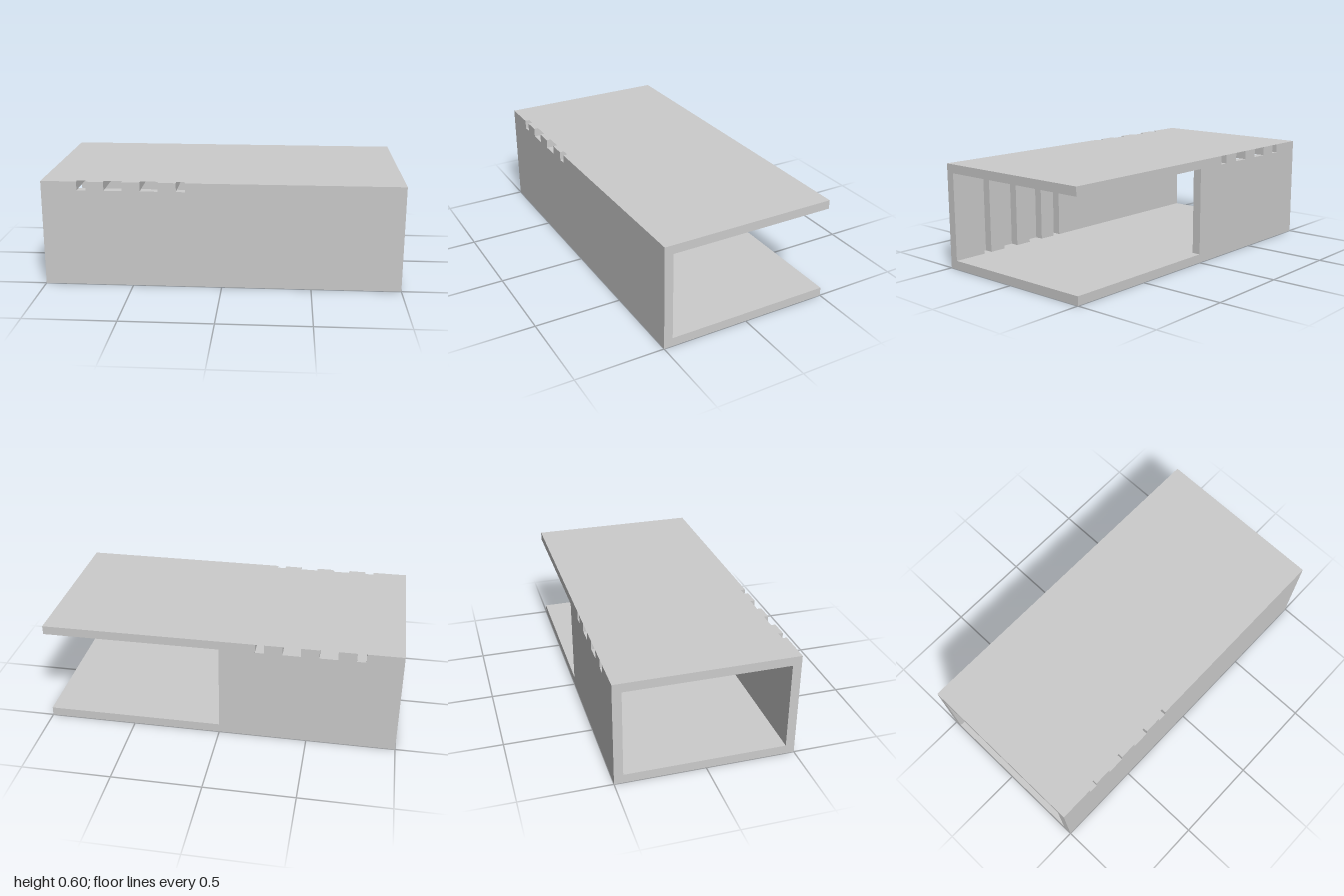
import * as THREE from 'three';

const T = 0.05; // wall thickness
// slot spans along the length, used on both halves
const SLOTS = [[0.2, 0.25], [0.35, 0.45], [0.55, 0.65], [0.75, 0.8]];

export function createModel() {
  const model = new THREE.Group();
  const material = new THREE.MeshStandardMaterial({ color: 0xcccccc, flatShading: true });
  const skinMaterial = material.clone();
  skinMaterial.side = THREE.DoubleSide;

  // box given by its lower and upper bounds
  function block(name, [x0, x1], [y0, y1], [z0, z1]) {
    const mesh = new THREE.Mesh(new THREE.BoxGeometry(x1 - x0, y1 - y0, z1 - z0), material);
    mesh.position.set((x0 + x1) / 2, (y0 + y1) / 2, (z0 + z1) / 2);
    mesh.name = name;
    model.add(mesh);
  }

  // paper-thin cover closing the outer side of a slot
  function skin(name, width, height, position, tilt) {
    const mesh = new THREE.Mesh(new THREE.PlaneGeometry(width, height), skinMaterial);
    mesh.position.set(...position);
    mesh.rotation.x = tilt;
    mesh.name = name;
    model.add(mesh);
  }

  // solid spans left between the slots over the full length
  function solidSpans(slots) {
    const edges = [-1, ...slots.flat().sort((a, b) => a - b), 1];
    const spans = [];
    for (let i = 0; i < edges.length; i += 2) spans.push([edges[i], edges[i + 1]]);
    return spans;
  }

  // floor, and a back wall that closes one half only
  block('floor', [-1, 1], [0, T], [-0.5, 0.5]);
  block('backWall', [-1, 0], [T, 0.55], [-0.5, -0.45]);

  // top plate with slots across its underside, notched open at the front edge
  const topSlots = SLOTS.map(([a, b]) => [-b, -a]);
  for (const span of solidSpans(topSlots)) block('topPlate', span, [0.55, 0.6], [-0.5, 0.5]);
  for (const [a, b] of topSlots) {
    skin('topSlotCover', b - a, 0.975, [(a + b) / 2, 0.6, -0.0125], -Math.PI / 2);
  }

  // front wall with upright slots on its inner side
  for (const span of solidSpans(SLOTS)) block('frontWall', span, [T, 0.55], [0.45, 0.5]);
  for (const [a, b] of SLOTS) {
    skin('frontSlotCover', b - a, 0.5, [(a + b) / 2, 0.3, 0.5], 0);
  }

  return model;
}
